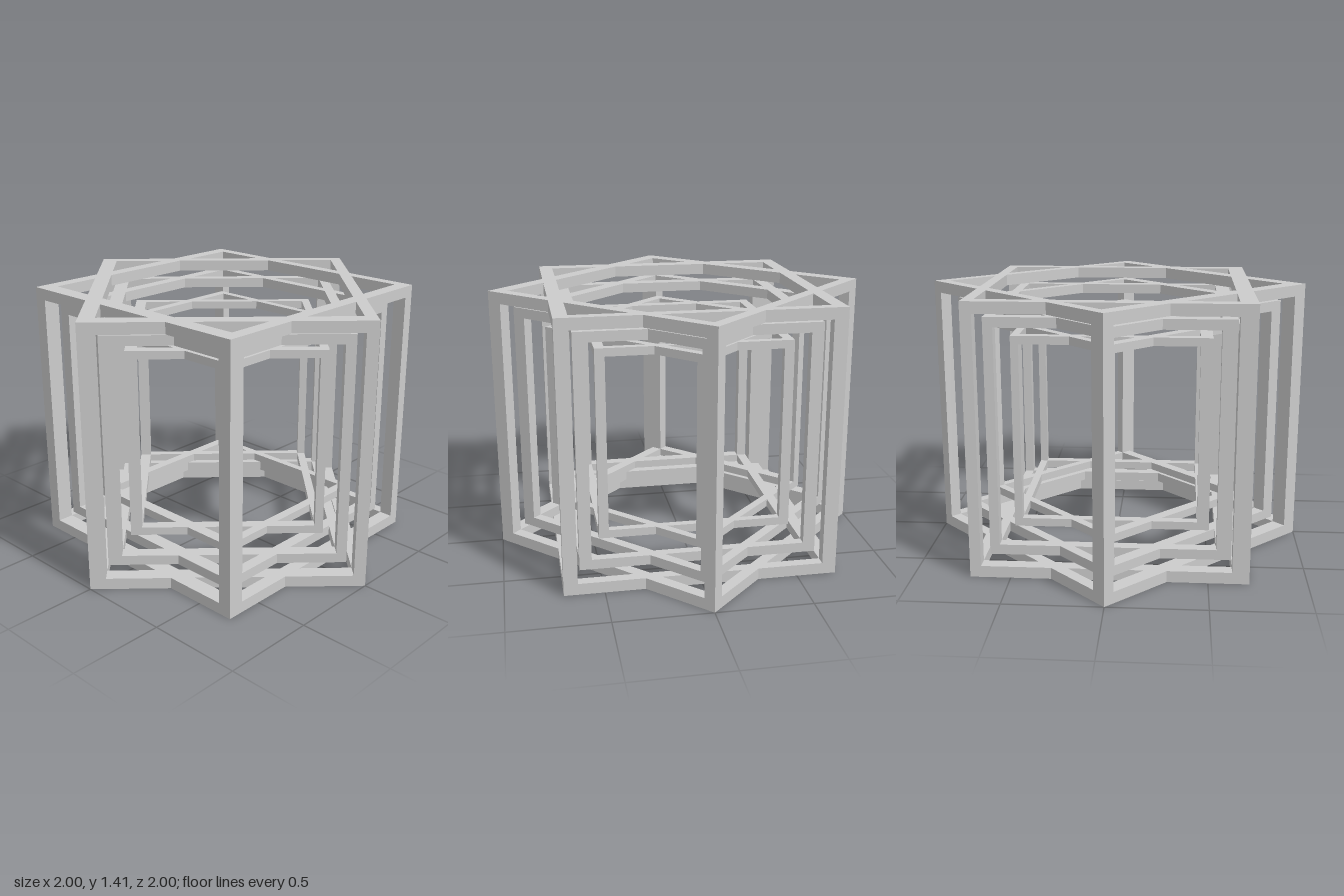
import * as THREE from 'three';

const HALF = Math.SQRT1_2; // half side of the largest cube
const RAIL_HEIGHT = 0.06;
const material = new THREE.MeshStandardMaterial({ color: 0xcccccc, flatShading: true });

// Closed rectangle in plan, with z running down the shape's y axis
function rectangle(Type, x0, x1, z0, z1) {
  return new Type().setFromPoints([[x0, -z1], [x1, -z1], [x1, -z0], [x0, -z0]]
    .map(([x, y]) => new THREE.Vector2(x, y)));
}

// Cube frame: square top and bottom rings joined by four posts.
// The bar thickness on each side is given separately.
function cubeFrame({ left, right, front, back }) {
  const frame = new THREE.Group();
  const x0 = -HALF + right, x1 = HALF - left;
  const z0 = -HALF + back, z1 = HALF - front;

  const outline = rectangle(THREE.Shape, -HALF, HALF, -HALF, HALF);
  outline.holes.push(rectangle(THREE.Path, x0, x1, z0, z1));
  const ringGeometry = new THREE.ExtrudeGeometry(outline, { depth: RAIL_HEIGHT, bevelEnabled: false });
  ringGeometry.rotateX(-Math.PI / 2);
  for (const [name, y] of [['bottomRing', -HALF], ['topRing', HALF - RAIL_HEIGHT]]) {
    const ring = new THREE.Mesh(ringGeometry, material);
    ring.name = name;
    ring.position.y = y;
    frame.add(ring);
  }

  for (const [xa, xb] of [[-HALF, x0], [x1, HALF]]) {
    for (const [za, zb] of [[-HALF, z0], [z1, HALF]]) {
      const height = 2 * (HALF - RAIL_HEIGHT);
      const post = new THREE.Mesh(new THREE.BoxGeometry(xb - xa, height, zb - za), material);
      post.name = 'cornerPost';
      post.position.set((xa + xb) / 2, 0, (za + zb) / 2);
      frame.add(post);
    }
  }
  return frame;
}

export function createModel() {
  const model = new THREE.Group();
  model.name = 'nestedCubeFrames';

  // Three nested sizes, each a straight cube crossed with one turned 45 degrees
  for (const [name, scale] of [['outer', 1], ['middle', 0.874], ['inner', 0.714]]) {
    const straight = cubeFrame({ left: 0.072, right: 0.072, front: 0.087, back: 0.057 });
    straight.name = name + 'StraightFrame';

    const turned = cubeFrame({ left: 0.061, right: 0.082, front: 0.082, back: 0.061 });
    turned.name = name + 'TurnedFrame';
    turned.rotation.y = Math.PI / 4;

    for (const frame of [straight, turned]) {
      frame.scale.setScalar(scale);
      frame.position.y = HALF;
      model.add(frame);
    }
  }
  return model;
}
